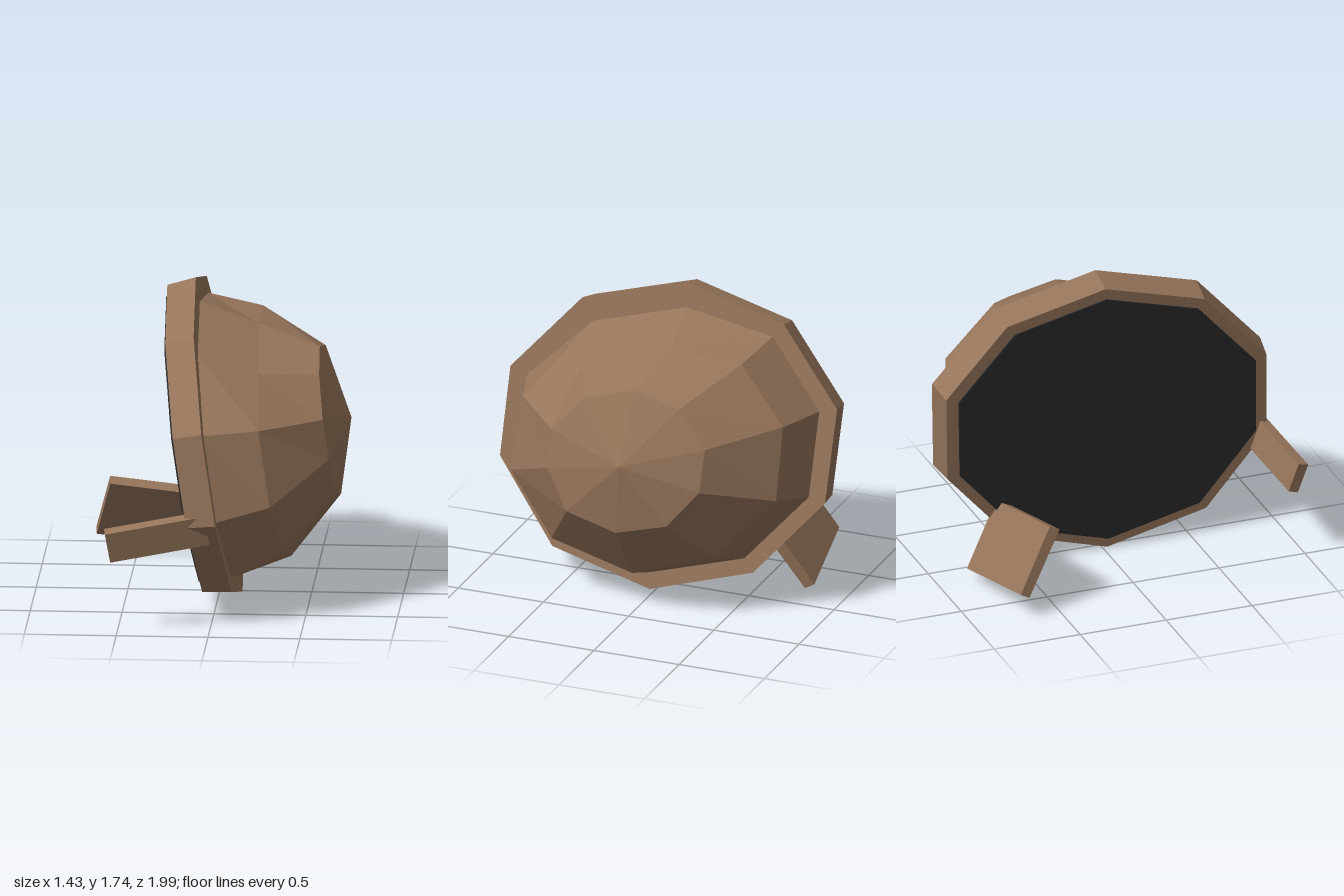
import * as THREE from 'three';

const V = (a) => new THREE.Vector3(...a);

// Faceted solid through a list of rings; each ring runs anticlockwise seen from its +x side.
// A tip point replaces the flat end cap with a shallow cone.
function loft(rings, tip) {
  const pos = [];
  const tri = (...pts) => pts.forEach((p) => pos.push(p.x, p.y, p.z));
  const middle = (ring) => ring.reduce((s, p) => s.add(p), new THREE.Vector3()).divideScalar(ring.length);
  const first = rings[0], last = rings[rings.length - 1], n = first.length;
  const c0 = middle(first), c1 = tip || middle(last);
  for (let i = 0; i < n; i++) {
    const j = (i + 1) % n;
    tri(c0, first[j], first[i]);
    tri(c1, last[i], last[j]);
    for (let k = 0; k < rings.length - 1; k++) {
      const a = rings[k], b = rings[k + 1];
      tri(a[i], a[j], b[j]);
      tri(a[i], b[j], b[i]);
    }
  }
  const g = new THREE.BufferGeometry();
  g.setAttribute('position', new THREE.Float32BufferAttribute(pos, 3));
  g.computeVertexNormals();
  return g;
}

export function createModel() {
  const model = new THREE.Group();
  const wood = new THREE.MeshStandardMaterial({ color: 0x96755b });
  wood.name = 'brown wood';
  const dark = new THREE.MeshStandardMaterial({ color: 0x2b2b2d });
  dark.name = 'dark backing';
  const add = (name, geometry, material) => {
    const mesh = new THREE.Mesh(geometry, material);
    mesh.name = name;
    model.add(mesh);
  };

  // The rim lies in a plane leaning back; outlines are given as [y, z]
  const axis = V([0.989, 0.15, 0]);
  const centre = V([-0.005, 0.873, -0.023]);
  const onPlane = ([y, z]) => V([0.126 - 0.151 * y, y, z]);
  const rimFront = [
    [1.738, -0.08], [1.56, 0.52], [1.115, 0.915], [0.61, 0.945], [0.155, 0.61],
    [0.006, 0.03], [0.19, -0.565], [0.64, -0.96], [1.17, -0.998], [1.593, -0.66],
  ].map(onPlane);
  const shifted = (scale, depth) => rimFront.map((p) =>
    p.clone().sub(centre).multiplyScalar(scale).add(centre).addScaledVector(axis, -depth));

  // Thick rim, slightly tapered to the back, with a dark plate set on its back
  const rimBack = shifted(0.976, 0.16);
  add('rim', loft([rimBack, rimFront]), wood);
  add('backPlate', loft([shifted(0.905, 0.175), shifted(0.905, 0.166)]), dark);

  // Faceted dome: base ring on the rim, two smaller rings, then the tip
  const domeBase = [
    [1.6, -0.09], [1.44, 0.45], [1.083, 0.815], [0.607, 0.85], [0.225, 0.55],
    [0.1, 0.03], [0.262, -0.51], [0.66, -0.863], [1.142, -0.895], [1.515, -0.6],
  ].map(onPlane);
  const domeMiddle = [
    [0.2, 1.475, -0.12], [0.23, 1.325, 0.38], [0.255, 1.09, 0.72], [0.32, 0.672, 0.765], [0.375, 0.332, 0.502],
    [0.39, 0.21, 0.025], [0.365, 0.364, -0.445], [0.31, 0.738, -0.787], [0.25, 1.155, -0.803], [0.2, 1.465, -0.54],
  ].map(V);
  const domeUpper = [
    [0.54, 1.37, -0.05], [0.555, 1.283, 0.235], [0.586, 1.08, 0.42], [0.62, 0.86, 0.428], [0.65, 0.636, 0.305],
    [0.66, 0.56, 0.01], [0.65, 0.641, -0.28], [0.615, 0.855, -0.46], [0.58, 1.1, -0.48], [0.555, 1.305, -0.32],
  ].map(V);
  add('dome', loft([domeBase, domeMiddle, domeUpper], V([0.714, 0.98, -0.03])), wood);

  // Flat legs: outer end corners swept inwards into the rim
  const leg = (name, corners, sweep) => {
    const outer = corners.map(V);
    add(name, loft([outer, outer.map((p) => p.clone().add(V(sweep)))]), wood);
  };
  leg('frontLeg',
    [[-0.57, 0.585, 0.937], [-0.562, 0.568, 0.995], [-0.536, 0.398, 0.945], [-0.54, 0.415, 0.89]],
    [0.535, 0.09, -0.07]);
  leg('backLeg',
    [[-0.632, 0.494, -0.535], [-0.627, 0.465, -0.476], [-0.715, 0.127, -0.685], [-0.72, 0.156, -0.738]],
    [0.58, -0.088, -0.09]);

  return model;
}
